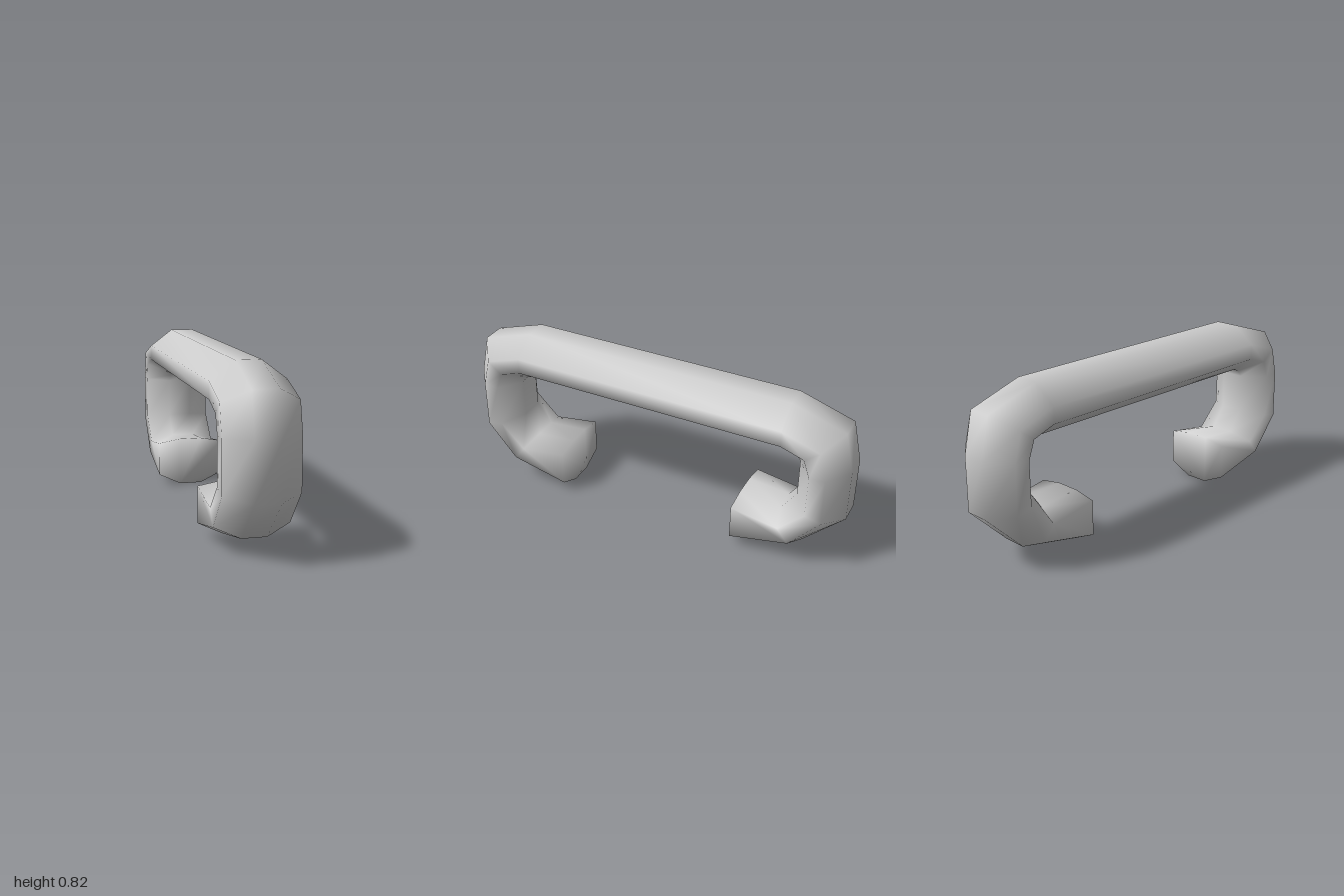
import * as THREE from 'three';

// Half of the bar, from hook end to the straight grip:
// outer z, outer y, inner z, inner y, then where the two side edges sit between outer (0) and inner (1)
const HALF = [
  [0.47, 0.0, 0.47, 0.25, 0.22, 0.92],
  [0.80, 0.075, 0.68, 0.23, 0.3, 0.76],
  [1.0, 0.275, 0.755, 0.335, 0.35, 0.68],
  [1.0, 0.54, 0.755, 0.53, 0.36, 0.67],
  [0.955, 0.74, 0.73, 0.565, 0.35, 0.67],
  [0.69, 0.825, 0.69, 0.58, 0.35, 0.67],
];
const FLAT = 0.058;
const SIDE = 0.172;

// Eight-sided cross-section of one station
function ring([oz, oy, iz, iy, a, b]) {
  const outline = [
    [-FLAT, 0], [FLAT, 0], [SIDE, a], [SIDE, b],
    [FLAT, 1], [-FLAT, 1], [-SIDE, b], [-SIDE, a],
  ];
  return outline.map(([x, t]) => [x, oy + (iy - oy) * t, oz + (iz - oz) * t]);
}

function handleGeometry() {
  // Mirror the half front to back
  const back = HALF.map(([oz, oy, iz, iy, a, b]) => [-oz, oy, -iz, iy, a, b]).reverse();
  const rings = [...HALF, ...back].map(ring);
  const n = 8;
  const index = [];

  // Skin between neighbouring sections
  for (let i = 0; i < rings.length - 1; i++) {
    for (let j = 0; j < n; j++) {
      const k = (j + 1) % n;
      const A = i * n + j, B = i * n + k, C = B + n, D = A + n;
      index.push(A, B, C, A, C, D);
    }
  }

  // End caps share the ring vertices, so their edges shade softly
  const last = (rings.length - 1) * n;
  for (let k = 1; k < n - 1; k++) {
    index.push(0, k + 1, k);
    index.push(last, last + k, last + k + 1);
  }

  const geometry = new THREE.BufferGeometry();
  geometry.setAttribute('position', new THREE.Float32BufferAttribute(rings.flat(2), 3));
  geometry.setIndex(index);
  geometry.computeVertexNormals();
  return geometry;
}

export function createModel() {
  const group = new THREE.Group();
  group.name = 'handle';
  const bar = new THREE.Mesh(handleGeometry(), new THREE.MeshStandardMaterial({ color: 0xcccccc }));
  bar.name = 'hookedHandleBar';
  group.add(bar);
  return group;
}
